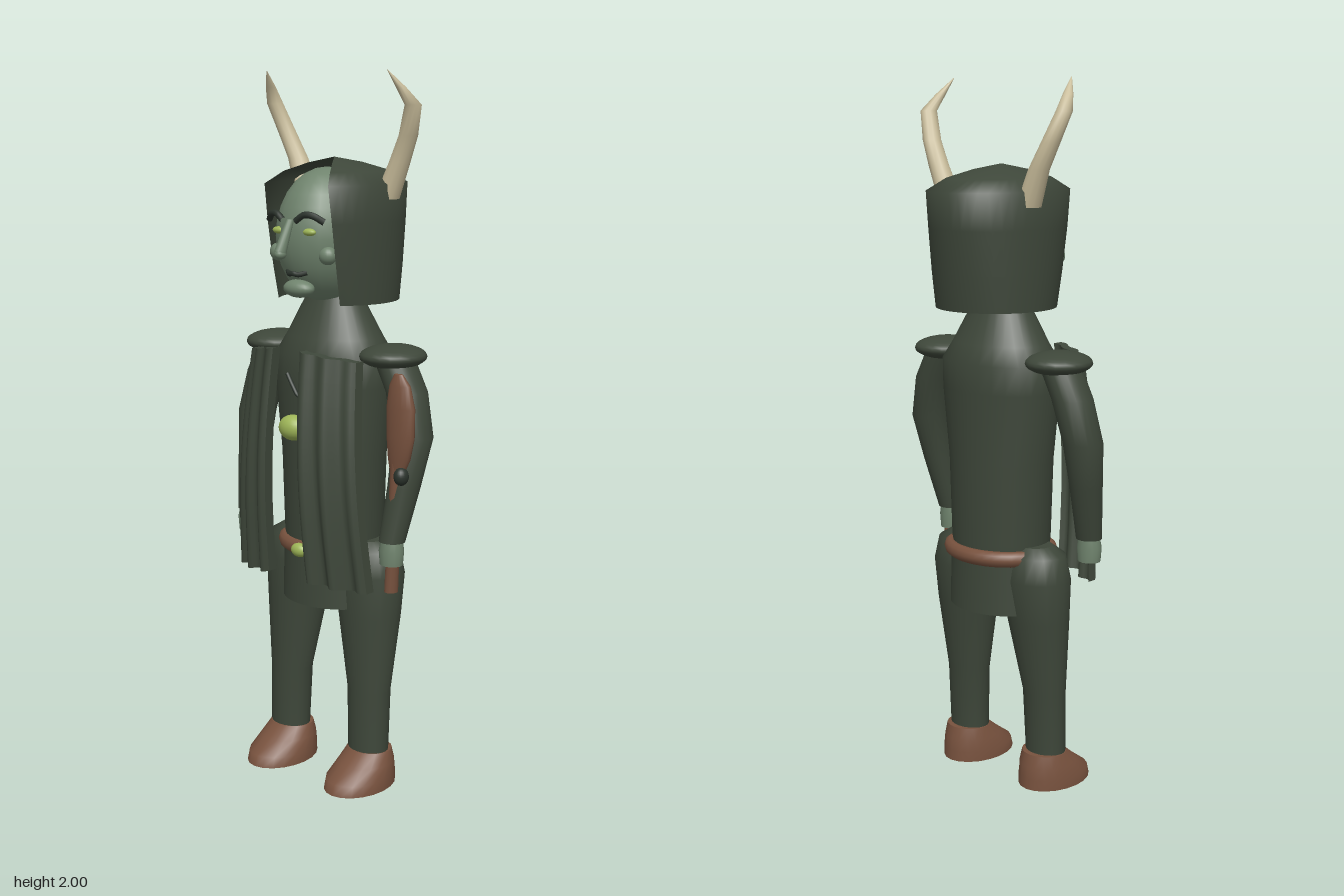
import * as THREE from 'three';

const mat = (name, color, side = THREE.FrontSide) => {
  const m = new THREE.MeshStandardMaterial({ color, side });
  m.name = name;
  return m;
};

export function createModel() {
  const model = new THREE.Group();
  model.name = 'hornedFigure';
  const cloth = mat('dark green cloth', 0x3e473a, THREE.DoubleSide);
  const dark = mat('blackish green', 0x2b332c);
  const skin = mat('grey green skin', 0x6f836d);
  const horn = mat('bone', 0xc9bd9b);
  const leather = mat('brown leather', 0x78523e);
  const gold = mat('yellow green metal', 0x9db457);

  const add = (name, geo, material, pos, scale) => {
    const mesh = new THREE.Mesh(geo, material);
    mesh.name = name;
    if (pos) mesh.position.set(...pos);
    if (scale) mesh.scale.set(...scale);
    model.add(mesh);
    return mesh;
  };
  const ball = (name, material, pos, radii) =>
    add(name, new THREE.SphereGeometry(1, 20, 14), material, pos, radii);
  const tube = (name, material, pts, r) => add(name, new THREE.TubeGeometry(
    new THREE.CatmullRomCurve3(pts.map(p => new THREE.Vector3(...p))), 10, r, 8), material);

  // Skins level elliptical rings [y, cx, cz, rx, rz]; an arc [a0, a1] leaves it open
  const loft = (rings, n = 20, arc = null) => {
    const pos = [], idx = [];
    const cols = arc ? n + 1 : n;
    const [a0, a1] = arc || [0, Math.PI * 2];
    const ring = ([y, cx, cz, rx, rz]) => {
      for (let i = 0; i < cols; i++) {
        const t = a0 + (a1 - a0) * i / n;
        pos.push(cx + rx * Math.sin(t), y, cz + rz * Math.cos(t));
      }
    };
    rings.forEach(ring);
    for (let j = 0; j < rings.length - 1; j++) {
      for (let i = 0; i < n; i++) {
        const k = (i + 1) % cols, a = j * cols + i, b = j * cols + k;
        idx.push(a, b, b + cols, a, b + cols, a + cols);
      }
    }
    if (!arc) [rings[0], rings[rings.length - 1]].forEach((r, end) => {
      const s = pos.length / 3;
      ring(r);
      pos.push(r[1], r[0], r[2]);
      for (let i = 0; i < n; i++) {
        const k = s + (i + 1) % n;
        if (end) idx.push(s + i, k, s + n); else idx.push(k, s + i, s + n);
      }
    });
    const g = new THREE.BufferGeometry();
    g.setAttribute('position', new THREE.Float32BufferAttribute(pos, 3));
    g.setIndex(idx);
    g.computeVertexNormals();
    return g;
  };
  const side = (rings, s) => rings.map(([y, cx, ...rest]) => [y, s * cx, ...rest]);

  // Tunic, skirt flaps and belt
  add('tunic', loft([
    [0.62, 0, 0, 0.14, 0.12], [0.72, 0, 0, 0.15, 0.13], [0.95, 0, 0, 0.16, 0.132],
    [1.15, 0, 0, 0.185, 0.138], [1.23, 0, -0.003, 0.185, 0.136],
    [1.28, 0, -0.002, 0.15, 0.115], [1.4, 0, 0, 0.08, 0.065]], 28), cloth);
  [['frontFlap', 0], ['backFlap', Math.PI]].forEach(([name, a]) =>
    add(name, loft([[0.52, 0, 0, 0.158, 0.134], [0.7, 0, 0, 0.152, 0.132]], 14, [a - 1.1, a + 1.1]), cloth));
  const belt = new THREE.TorusGeometry(1, 0.15, 10, 36);
  belt.rotateX(Math.PI / 2);
  add('belt', belt, leather, [0, 0.685, -0.003], [0.15, 0.15, 0.13]);
  ball('buckle', gold, [0, 0.685, 0.148], [0.028, 0.02, 0.018]);
  ball('brooch', gold, [0, 1.04, 0.17], [0.046, 0.036, 0.034]);
  tube('collar', dark, [[-0.055, 1.18, 0.134], [-0.03, 1.15, 0.14], [0, 1.12, 0.143],
    [0.03, 1.15, 0.14], [0.055, 1.18, 0.134]], 0.006);

  // Head and face
  ball('head', skin, [0, 1.56, 0.03], [0.135, 0.185, 0.15]);
  add('nose', loft([[1.515, 0, 0.213, 0.013, 0.014], [1.53, 0, 0.216, 0.016, 0.019],
    [1.61, 0, 0.178, 0.01, 0.012]], 12), skin);
  ball('noseTip', skin, [0, 1.52, 0.217], [0.015, 0.014, 0.018]);
  ball('chin', skin, [0, 1.422, 0.145], [0.05, 0.025, 0.032]);
  tube('mouth', dark, [[-0.035, 1.468, 0.15], [-0.015, 1.462, 0.166], [0, 1.465, 0.17],
    [0.015, 1.462, 0.166], [0.035, 1.468, 0.15]], 0.007);

  // Hood, open at the front and closing to a peak
  const gap = 0.743;
  add('hood', loft([
    [1.38, 0, -0.02, 0.167, 0.17], [1.48, 0, -0.016, 0.172, 0.19], [1.6, 0, -0.012, 0.174, 0.21],
    [1.7, 0, -0.01, 0.171, 0.225], [1.733, 0, -0.008, 0.125, 0.165],
    [1.755, 0, -0.004, 0.065, 0.085], [1.77, 0, 0, 0.001, 0.001]],
  32, [gap, Math.PI * 2 - gap]), cloth);

  // Hanging cloak front, a folded slab from inner edge o = 0 to outer edge o = 1
  const cloakPanel = s => {
    const g = new THREE.BoxGeometry(1, 1, 1, 18, 10, 1);
    const p = g.attributes.position;
    for (let i = 0; i < p.count; i++) {
      const o = 0.5 + s * p.getX(i), v = p.getY(i) + 0.5;
      const inner = 0.072 - 0.022 * v, outer = 0.238 - 0.045 * v;
      const fold = 0.012 * (1.2 - 0.7 * v) * Math.sin(o * 15);
      p.setXYZ(i, s * (inner + (outer - inner) * o),
        0.62 - 0.018 * o + (0.64 - 0.005 * o) * v,
        0.182 - 0.07 * o * o + fold + 0.024 * Math.sin(Math.PI * v) + 0.03 * p.getZ(i));
    }
    g.computeVertexNormals();
    return g;
  };

  // Everything that comes in pairs
  for (const s of [1, -1]) {
    const n = s > 0 ? 'left' : 'right';
    add(n + 'Cloak', cloakPanel(s), cloth);
    add(n + 'Leg', loft(side([
      [0.09, 0.152, 0.025, 0.062, 0.05], [0.28, 0.15, 0.02, 0.066, 0.055],
      [0.5, 0.138, 0.005, 0.095, 0.08], [0.62, 0.134, 0, 0.105, 0.09],
      [0.69, 0.13, 0, 0.092, 0.08], [0.715, 0.125, 0, 0.055, 0.05]], s)), cloth);
    add(n + 'Shoe', loft(side([
      [0, 0.152, 0.062, 0.088, 0.12], [0.03, 0.152, 0.058, 0.087, 0.115],
      [0.065, 0.152, 0.035, 0.078, 0.088], [0.1, 0.152, 0.018, 0.066, 0.06]], s)), leather);
    add(n + 'Arm', loft(side([
      [0.745, 0.27, 0.068, 0.037, 0.035], [0.9, 0.285, 0.035, 0.045, 0.047],
      [1.03, 0.293, 0.01, 0.056, 0.055], [1.15, 0.262, 0, 0.056, 0.06],
      [1.24, 0.215, 0, 0.055, 0.06]], s)), cloth);
    add(n + 'Hand', loft(side([
      [0.68, 0.27, 0.07, 0.033, 0.03], [0.72, 0.27, 0.07, 0.036, 0.033],
      [0.755, 0.27, 0.068, 0.03, 0.028]], s), 14), skin);
    ball(n + 'ShoulderPad', cloth, [s * 0.213, 1.242, 0], [0.092, 0.033, 0.096]);
    add(n + 'Horn', loft(side([
      [1.66, 0.145, -0.05, 0.036, 0.034], [1.76, 0.186, -0.055, 0.029, 0.03],
      [1.83, 0.22, -0.048, 0.026, 0.027], [1.91, 0.25, -0.03, 0.022, 0.025],
      [1.955, 0.235, 0.003, 0.013, 0.016], [2, 0.217, 0.038, 0.001, 0.001]], s), 12), horn);
    ball(n + 'Eye', gold, [s * 0.055, 1.578, 0.163], [0.022, 0.01, 0.012]);
    ball(n + 'Cheek', skin, [s * 0.09, 1.515, 0.128], [0.026, 0.025, 0.024]);
    tube(n + 'Brow', dark, [[s * 0.023, 1.607, 0.182], [s * 0.05, 1.624, 0.178],
      [s * 0.075, 1.622, 0.17], [s * 0.1, 1.605, 0.153]], 0.009);
  }

  // Club carried in the left hand
  add('clubHandle', loft([[0.6, 0.266, 0.065, 0.019, 0.02], [1.0, 0.288, 0.07, 0.017, 0.018]], 12), leather);
  add('clubHead', loft([
    [0.92, 0.285, 0.07, 0.016, 0.012], [0.98, 0.295, 0.071, 0.036, 0.019],
    [1.04, 0.3, 0.072, 0.045, 0.023], [1.12, 0.3, 0.072, 0.046, 0.023],
    [1.18, 0.297, 0.072, 0.034, 0.018], [1.21, 0.292, 0.072, 0.014, 0.008]], 16), leather);
  ball('clubKnob', dark, [0.31, 0.935, 0.08], [0.02, 0.025, 0.022]);

  return model;
}
